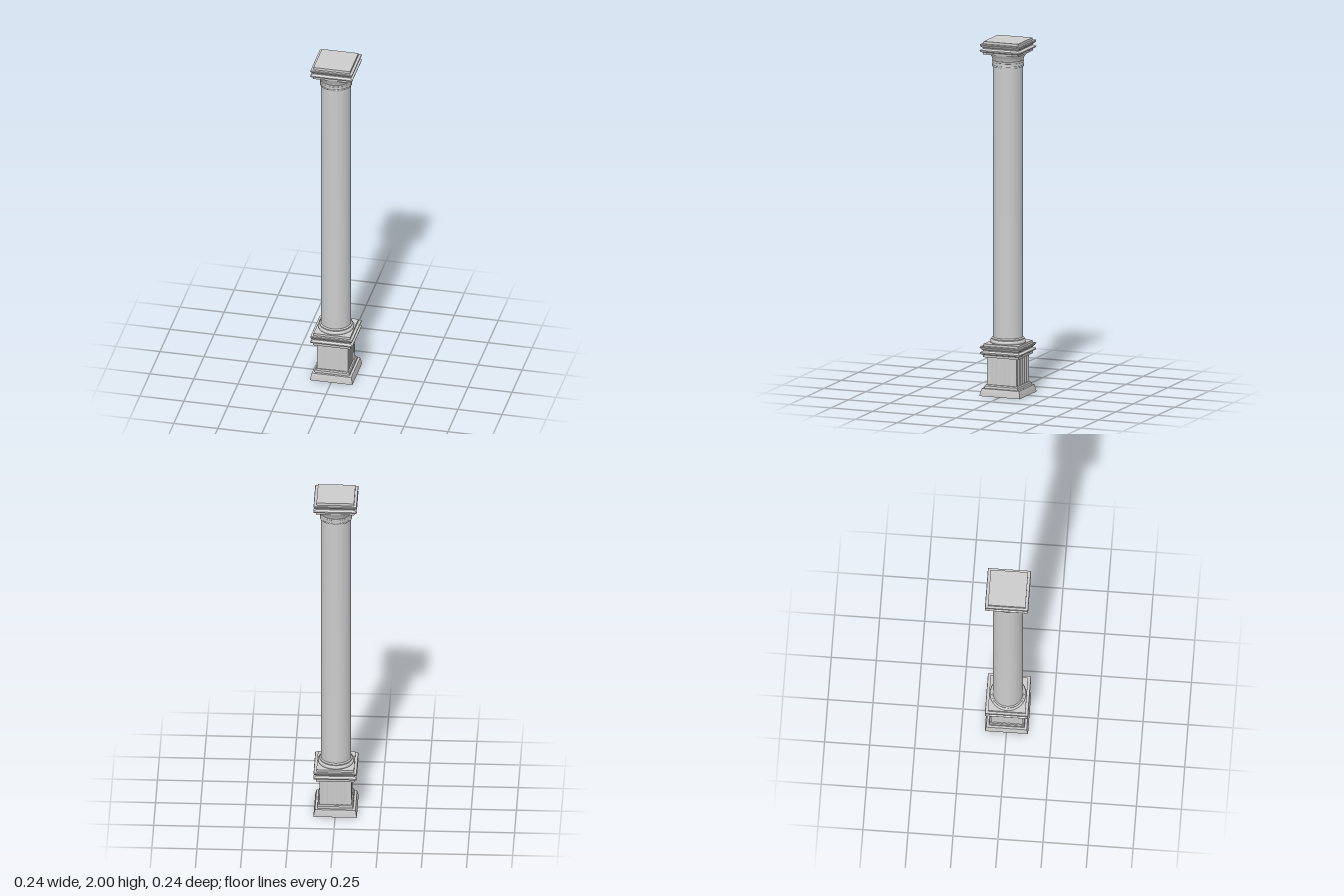
import * as THREE from 'three';
import { toCreasedNormals } from 'three/addons/utils/BufferGeometryUtils.js';

const material = new THREE.MeshStandardMaterial({ color: 0xcccccc, side: THREE.DoubleSide });

// Turns [half-width, height] pairs into a moulding: square for 4 sides, otherwise round
function moulding(name, profile, sides, crease = 0.5) {
  const square = sides === 4;
  const k = square ? Math.SQRT2 : 1;
  const points = profile.map(([r, y]) => new THREE.Vector2(r * k, y));
  const geometry = new THREE.LatheGeometry(points, sides, square ? Math.PI / 4 : 0);
  const mesh = new THREE.Mesh(toCreasedNormals(geometry, crease), material);
  mesh.name = name;
  return mesh;
}

// Points along a bulging half-round edge
function bead(radius, y0, y1, bulge, steps = 8) {
  return Array.from({ length: steps + 1 }, (_, i) => {
    const a = Math.PI * (i / steps - 0.5);
    return [radius + bulge * Math.cos(a), (y0 + y1) / 2 + ((y1 - y0) / 2) * Math.sin(a)];
  });
}

// Square block with shallow vertical flutes on all four faces
function flutedBlock(name, half, y0, y1, flutes, depth) {
  const shape = new THREE.Shape();
  const steps = flutes * 8, margin = 0.012;
  const corner = new THREE.Vector2();
  for (let side = 0; side < 4; side++) {
    const put = (x, y) => {
      const p = new THREE.Vector2(x, y).rotateAround(corner, side * Math.PI / 2);
      if (side === 0 && x === -half) shape.moveTo(p.x, p.y);
      else shape.lineTo(p.x, p.y);
    };
    put(-half, -half);
    for (let i = 0; i <= steps; i++) {
      const t = i / steps;
      const dip = depth * (1 - Math.cos(t * flutes * 2 * Math.PI)) / 2;
      put((half - margin) * (2 * t - 1), -half + dip);
    }
  }
  const geometry = new THREE.ExtrudeGeometry(shape, { depth: y1 - y0, bevelEnabled: false });
  geometry.rotateX(-Math.PI / 2).translate(0, y0, 0);
  const mesh = new THREE.Mesh(toCreasedNormals(geometry, 0.6), material);
  mesh.name = name;
  return mesh;
}

export function createModel() {
  const column = new THREE.Group();
  column.name = 'column';

  // Pedestal
  column.add(
    moulding('plinth', [
      [0, 0], [0.12, 0], [0.12, 0.008], [0.112, 0.042], [0.099, 0.042],
      [0.099, 0.056], [0.094, 0.062], [0, 0.062],
    ], 4),
    flutedBlock('pedestalBlock', 0.089, 0.06, 0.222, 6, 0.004),
    moulding('pedestalCornice', [
      [0, 0.218], [0.105, 0.218], [0.107, 0.232], [0.118, 0.238], [0.12, 0.246],
      [0.106, 0.254], [0.106, 0.259], [0.113, 0.264], [0.12, 0.275],
      [0.118, 0.28], [0.104, 0.28], [0.104, 0.293], [0, 0.293],
    ], 4),
  );

  // Round base and shaft
  column.add(
    moulding('roundBase', [
      [0, 0.29], ...bead(0.091, 0.291, 0.313, 0.009), [0.091, 0.319], [0.084, 0.325],
    ], 48),
    moulding('shaft', [[0.083, 0.3], [0.083, 1.88]], 48),
  );

  // Capital: collar, flaring bell and square abacus
  column.add(
    moulding('collar', [
      [0.08, 1.852], ...bead(0.087, 1.852, 1.862, 0.003), [0.087, 1.877],
      ...bead(0.086, 1.877, 1.887, 0.003), [0.08, 1.887],
    ], 48),
    moulding('bell', [
      [0.083, 1.884], [0.086, 1.893], [0.09, 1.904], [0.096, 1.914],
      [0.102, 1.922], [0.104, 1.932], [0, 1.932],
    ], 48),
    moulding('abacus', [
      [0, 1.927], [0.105, 1.927], [0.107, 1.938], [0.118, 1.944], [0.12, 1.952],
      [0.106, 1.96], [0.106, 1.965], [0.113, 1.97], [0.12, 1.981],
      [0.118, 1.986], [0.104, 1.986], [0.104, 2], [0, 2],
    ], 4),
  );
  return column;
}
